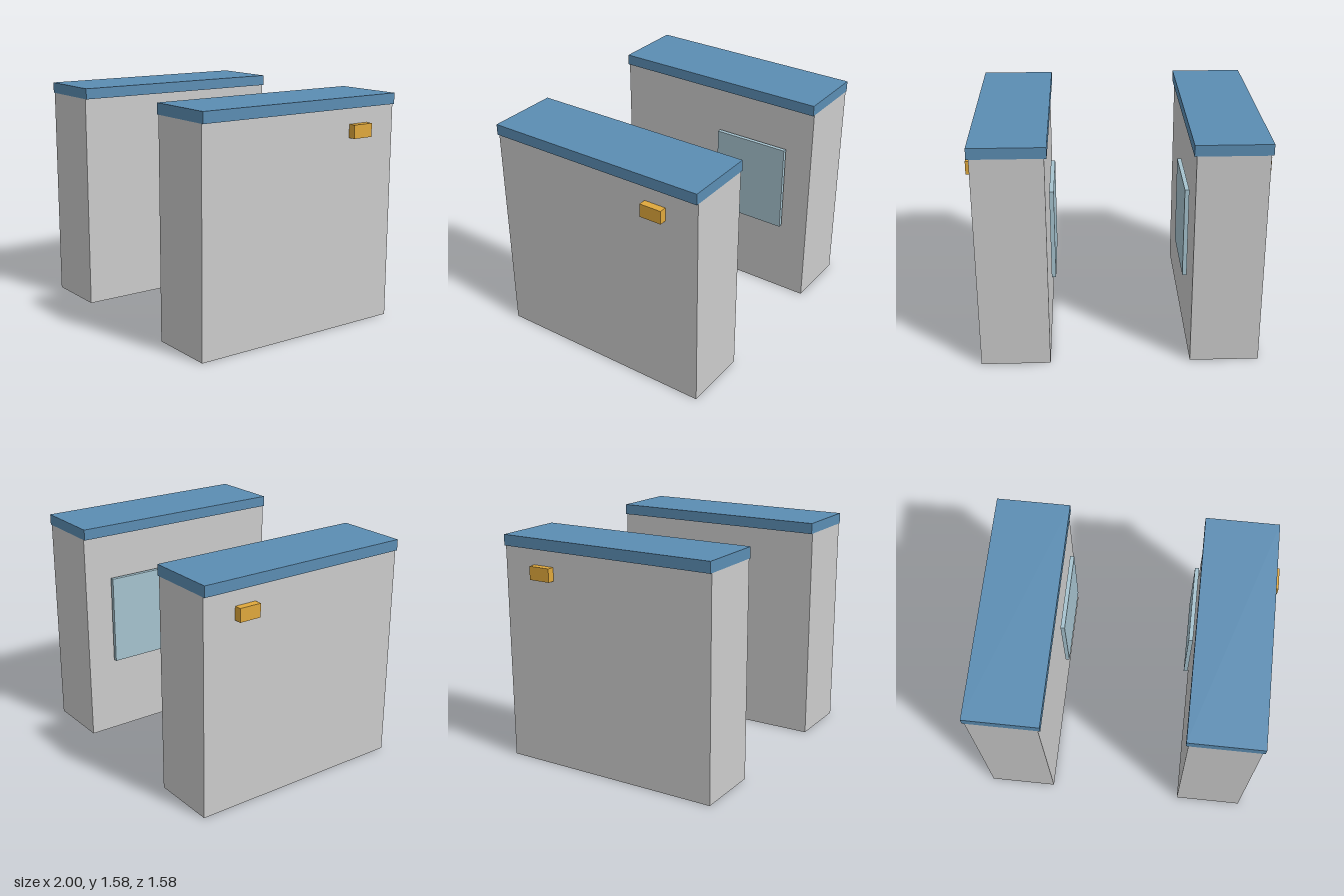
import * as THREE from 'three';

const material = (color) => new THREE.MeshStandardMaterial({ color });

export function createModel() {
  const model = new THREE.Group();
  const grey = material(0xcccccc);
  const blue = material(0x5b8db3);
  const amber = material(0xe0a83c);
  const glass = material(0xa6c3cf);

  // Box given by its [min, max] range on each axis
  const addBox = (parent, name, mat, [x0, x1], [y0, y1], [z0, z1]) => {
    const mesh = new THREE.Mesh(new THREE.BoxGeometry(x1 - x0, y1 - y0, z1 - z0), mat);
    mesh.name = name;
    mesh.position.set((x0 + x1) / 2, (y0 + y1) / 2, (z0 + z1) / 2);
    parent.add(mesh);
  };

  // x range measured outward from the centre, mirrored for each side
  for (const [side, s] of [['left', 1], ['right', -1]]) {
    const cabinet = new THREE.Group();
    cabinet.name = `${side}Cabinet`;
    const across = (inner, outer) => (s > 0 ? [inner, outer] : [-outer, -inner]);

    // Main housing and its overhanging lid
    addBox(cabinet, 'body', grey, across(0.478, 0.949), [0, 1.505], [-0.791, 0.791]);
    addBox(cabinet, 'lid', blue, across(0.462, 0.965), [1.505, 1.58], [-0.791, 0.791]);
    // Indicator lamp on the outer wall
    addBox(cabinet, 'lamp', amber, across(0.949, 1), [1.306, 1.398], [-0.554, -0.398]);
    // Thin panel standing just off the inner wall
    addBox(cabinet, 'panel', glass, across(0.43, 0.459), [0.56, 1.192], [-0.598, -0.046]);

    model.add(cabinet);
  }
  return model;
}
